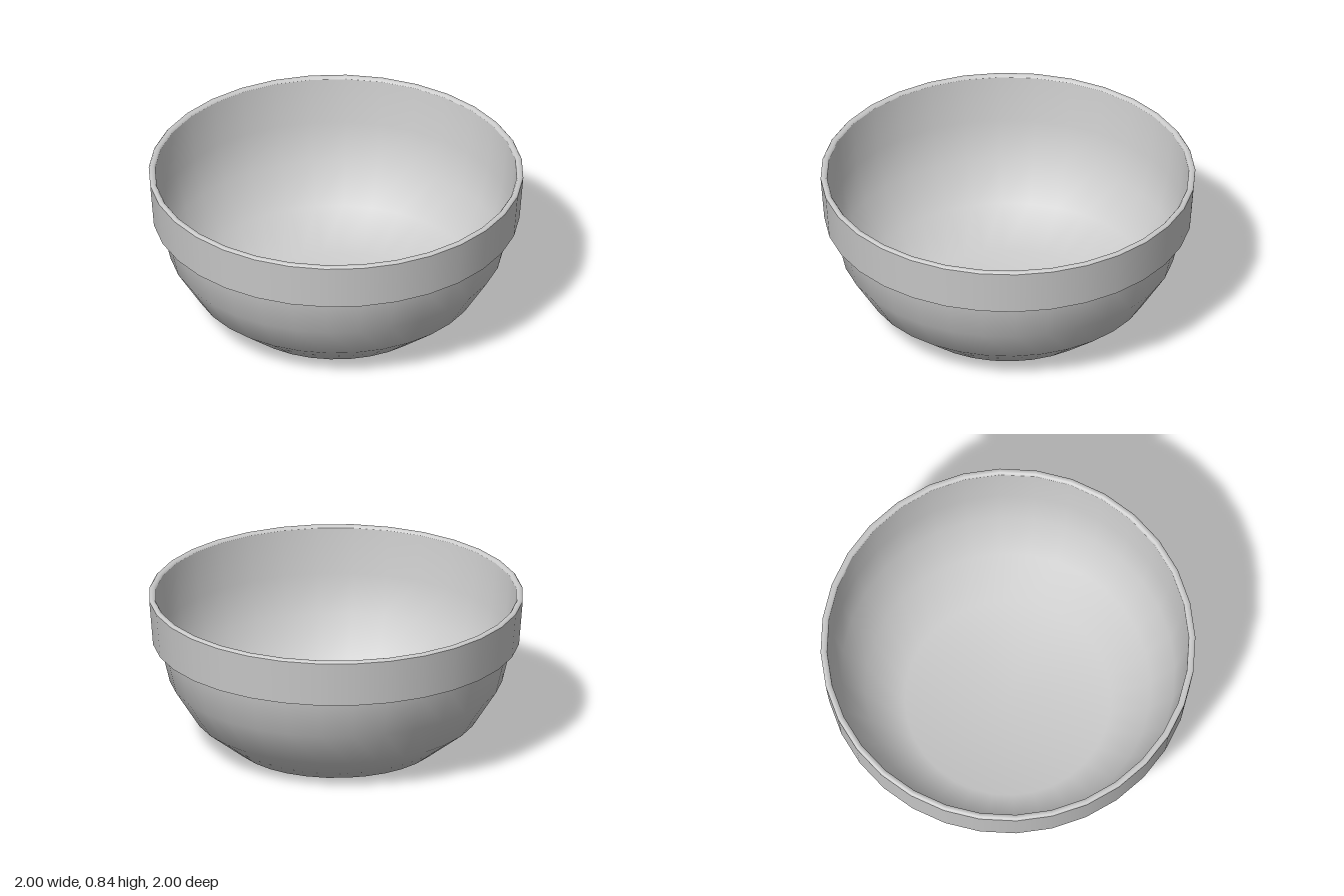
import * as THREE from 'three';

const SIDES = 32;
const material = new THREE.MeshStandardMaterial({ color: 0xcccccc, side: THREE.DoubleSide });

// Thin shell turned from [radius, height] pairs
function turned(name, profile) {
  const points = profile.map(([r, y]) => new THREE.Vector2(r, y));
  const mesh = new THREE.Mesh(new THREE.LatheGeometry(points, SIDES), material);
  mesh.name = name;
  return mesh;
}

export function createModel() {
  const group = new THREE.Group();
  group.name = 'bowl';

  // Flat base and faceted, curving wall up to the inner lip
  group.add(turned('bowlBody', [
    [0, 0], [0.55, 0], [0.76, 0.165], [0.89, 0.37], [0.94, 0.58], [0.965, 0.83],
  ]));

  // Bevelled rim
  group.add(turned('rim', [
    [0.965, 0.83], [0.974, 0.842], [0.992, 0.842], [1, 0.832],
  ]));

  // Collar hanging free of the wall, open underneath
  group.add(turned('collar', [[0.98, 0.585], [1, 0.832]]));

  return group;
}
